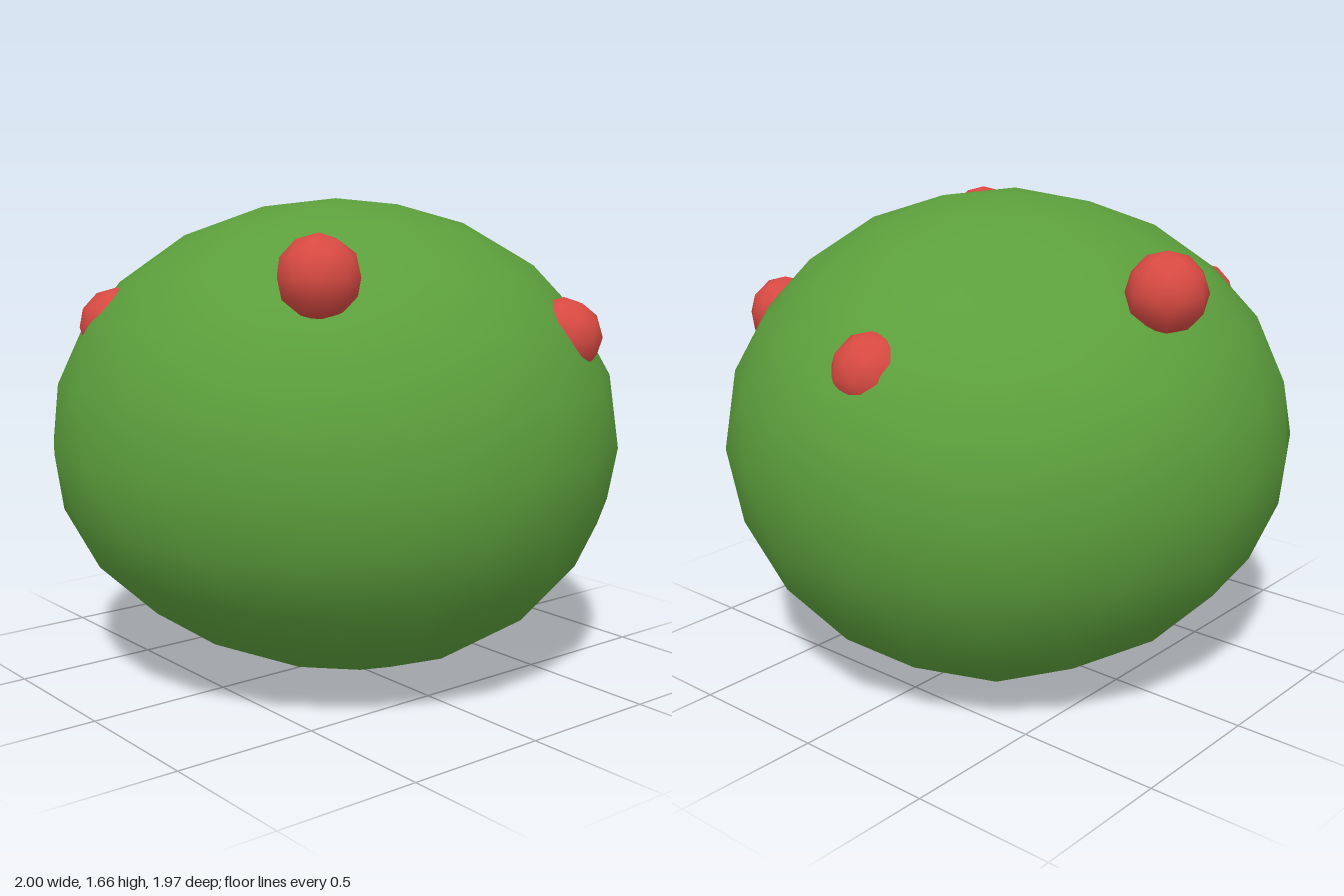
import * as THREE from 'three';
import { mergeVertices } from 'three/addons/utils/BufferGeometryUtils.js';

// Smooth icosphere with one vertex straight up
function icosphere(radius, detail) {
  const raw = new THREE.IcosahedronGeometry(radius, detail);
  raw.deleteAttribute('normal');
  raw.deleteAttribute('uv');
  const geo = mergeVertices(raw, 1e-4);
  geo.rotateZ(-Math.atan(2 / (1 + Math.sqrt(5))));
  geo.computeVertexNormals();
  return geo;
}

// Squashed ball, leaning slightly at the crown and the base
function foliageGeometry() {
  const geo = icosphere(1, 3);
  const p = geo.attributes.position;
  for (let i = 0; i < p.count; i++) {
    const x = p.getX(i), y = p.getY(i), z = p.getZ(i);
    const lean = y > 0 ? 0.05 * z - 0.03 * x : -0.09 * x;
    p.setXYZ(i, x, 0.835 + 0.83 * y + lean * y * y, z * 0.985 - 0.005);
  }
  geo.computeVertexNormals();
  return geo;
}

export function createModel() {
  const group = new THREE.Group();
  group.name = 'berryBush';
  const green = new THREE.MeshStandardMaterial({ color: 0x5c9f3c });
  const red = new THREE.MeshStandardMaterial({ color: 0xd84a42 });

  // Foliage
  const foliage = new THREE.Mesh(foliageGeometry(), green);
  foliage.name = 'foliage';
  group.add(foliage);

  // Berries, some standing out and some half sunk in the leaves
  const berryGeo = icosphere(0.13, 1);
  const spots = [
    [-0.52, 1.45, 0.57],
    [0.12, 1.45, -0.74],
    [0.4, 1.22, 0.7],
    [0.77, 1.22, -0.11],
    [-0.68, 1.24, -0.34],
  ];
  spots.forEach((spot, i) => {
    const berry = new THREE.Mesh(berryGeo, red);
    berry.name = `berry${i + 1}`;
    berry.position.set(...spot);
    group.add(berry);
  });
  return group;
}
